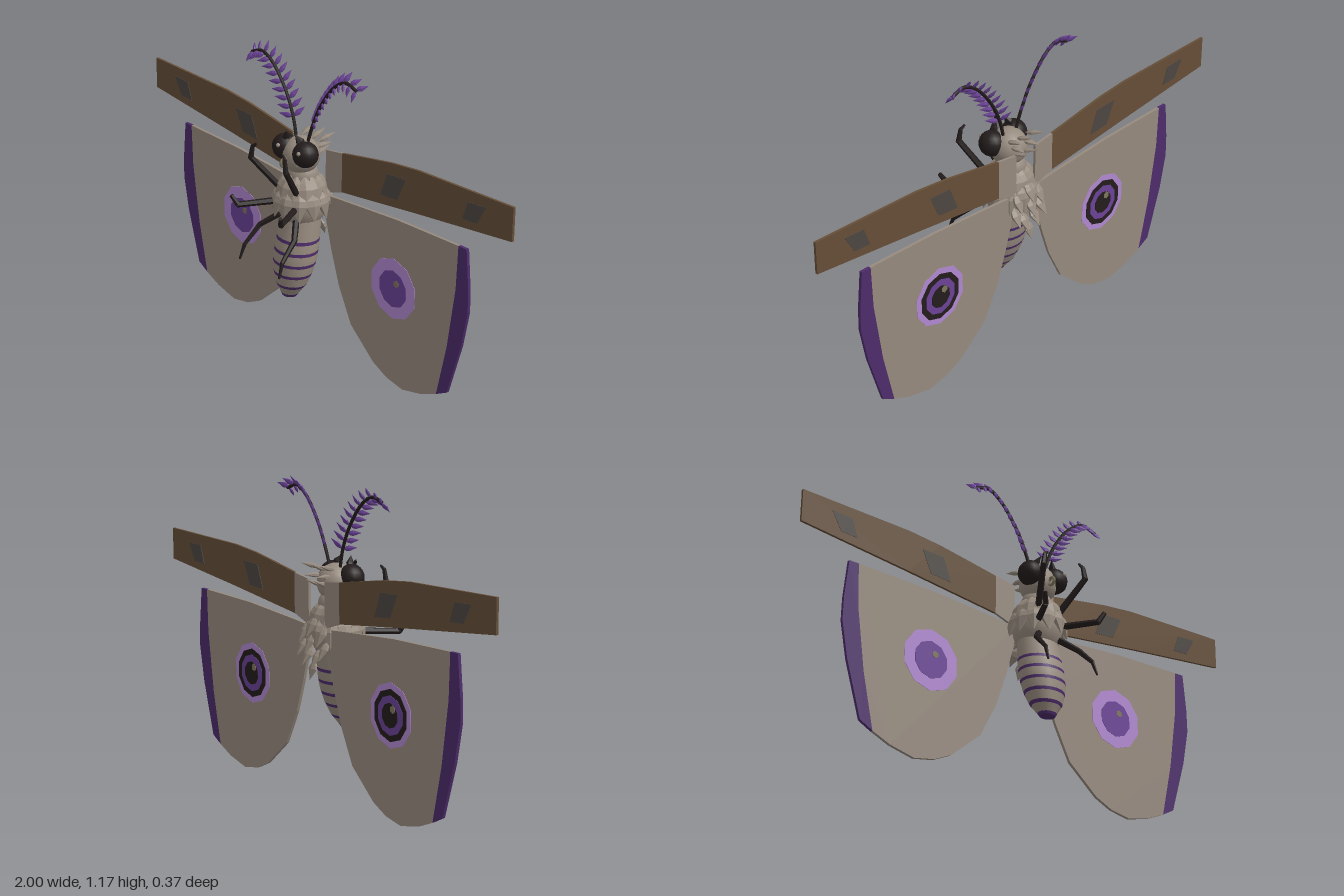
import * as THREE from 'three';

const mat = (name, color) => {
  const m = new THREE.MeshStandardMaterial({ color });
  m.name = name;
  return m;
};
const V = (x, y, z) => new THREE.Vector3(x, y, z);

export function createModel() {
  const root = new THREE.Group();
  root.name = 'moth';
  const taupe = mat('taupe fur', 0x968a7e);
  const brown = mat('forewing brown', 0x654e37);
  const grey = mat('patch grey', 0x4c4641);
  const dark = mat('near black', 0x231c1c);
  const deep = mat('deep purple', 0x4d2c6b);
  const purple = mat('mid purple', 0x6b4296);
  const lavender = mat('lavender', 0xb088d0);
  const olive = mat('olive highlight', 0x7d755c);

  const add = (name, geo, material, parent = root) => {
    const m = new THREE.Mesh(geo, material);
    m.name = name;
    parent.add(m);
    return m;
  };
  const group = (name) => {
    const g = new THREE.Group();
    g.name = name;
    root.add(g);
    return g;
  };
  const flat = (geo) => {
    const g = geo.toNonIndexed();
    g.computeVertexNormals();
    return g;
  };
  const ball = (name, r, p, material, parent, sx = 1, sy = 1, sz = 1) => {
    const m = add(name, new THREE.SphereGeometry(r, 16, 12), material, parent);
    m.position.copy(p);
    m.scale.set(sx, sy, sz);
  };

  // Tapered chain of faceted segments through the given points
  const limb = (name, pts, radii, material, parent) => {
    for (let i = 0; i < pts.length - 1; i++) {
      const d = pts[i + 1].clone().sub(pts[i]);
      const m = add(name, flat(new THREE.CylinderGeometry(radii[i + 1], radii[i], d.length() * 1.06, 6)), material, parent);
      m.position.copy(pts[i]).addScaledVector(d, 0.5);
      m.quaternion.setFromUnitVectors(V(0, 1, 0), d.normalize());
    }
  };

  // Flattened pointed leaf from a to b, its broad face turned to n
  const leafGeo = flat(new THREE.LatheGeometry(
    [[0, 0], [0.42, 0.25], [0.5, 0.45], [0, 1]].map(p => new THREE.Vector2(...p)), 6));
  const leaf = (name, a, b, n, width, thick, material, parent) => {
    const y = b.clone().sub(a), len = y.length();
    y.normalize();
    const x = y.clone().cross(n).normalize();
    const z = x.clone().cross(y);
    const m = add(name, leafGeo, material, parent);
    m.quaternion.setFromRotationMatrix(new THREE.Matrix4().makeBasis(x, y, z));
    m.position.copy(a);
    m.scale.set(width, len, thick);
  };

  // Flat plate from an outline, mirrored by s and centred on depth z
  const plate = (name, pts, s, z, depth, material, parent) => {
    const shape = new THREE.Shape(pts.map(([x, y]) => new THREE.Vector2(x * s, y)));
    const g = new THREE.ExtrudeGeometry(shape, { depth, bevelEnabled: false });
    g.translate(0, 0, z - depth / 2);
    return add(name, g, material, parent);
  };
  const disc = (name, r, x, y, z, material, parent, sides = 10) => {
    const m = add(name, new THREE.CylinderGeometry(r, r, 0.002, sides), material, parent);
    m.rotation.x = Math.PI / 2;
    m.position.set(x, y, z);
  };

  // Abdomen: striped bands following one leaning profile
  const abdomen = group('abdomen');
  const prof = [[0.25, 0.03], [0.27, 0.043], [0.3, 0.064], [0.35, 0.081], [0.4, 0.09], [0.45, 0.09], [0.5, 0.086], [0.56, 0.08]];
  const radius = (y) => {
    const i = Math.max(1, prof.findIndex(p => p[0] >= y));
    const [a, b] = [prof[i - 1], prof[i]];
    return THREE.MathUtils.lerp(a[1], b[1], (y - a[0]) / (b[0] - a[0]));
  };
  const lean = new THREE.Matrix4().set(1, 0, 0, 0, 0, 1, 0, 0, 0, -0.19, 0.87, 0.0675, 0, 0, 0, 1);
  const band = (y0, y1, material, cap) => {
    const pts = cap ? [new THREE.Vector2(0, y0)] : [];
    for (let i = 0; i <= 3; i++) {
      const y = y0 + (y1 - y0) * i / 3;
      pts.push(new THREE.Vector2(radius(y), y));
    }
    add('abdomenBand', new THREE.LatheGeometry(pts, 18).applyMatrix4(lean), material, abdomen);
  };
  const stripes = [0.25, 0.29, 0.336, 0.381, 0.427, 0.472];
  stripes.forEach((y, i) => {
    band(y, y + 0.012, deep, i === 0);
    band(y + 0.012, stripes[i + 1] ?? 0.56, taupe, false);
  });

  // Thorax and head
  ball('thorax', 0.1, V(0, 0.62, -0.04), taupe, root, 0.95, 1.12, 0.92);
  ball('neck', 0.06, V(0, 0.72, -0.045), taupe, root);
  ball('head', 0.072, V(0, 0.802, -0.036), taupe, root);

  // Rings of overlapping fur scales round the thorax
  const fur = group('thoraxFur');
  const rows = [
    { n: 12, y0: 0.735, y1: 0.625, r0: 0.05, r1: 0.108, off: 0 },
    { n: 12, y0: 0.68, y1: 0.57, r0: 0.085, r1: 0.112, off: 0.5 },
  ];
  for (const { n, y0, y1, r0, r1, off } of rows) {
    for (let i = 0; i < n; i++) {
      const a = (i + off) / n * Math.PI * 2, c = Math.sin(a), k = Math.cos(a);
      leaf('furScale', V(c * r0, y0, k * r0 - 0.04), V(c * r1, y1, k * r1 - 0.04), V(c, 0.3, k), 0.068, 0.035, taupe, fur);
    }
  }
  // Shaggy scales down the back
  for (const [x, y, z, l] of [[0, 0.69, -0.12, 0.08], [0.05, 0.66, -0.115, 0.08], [0, 0.63, -0.13, 0.08],
    [0.06, 0.6, -0.115, 0.07], [0.025, 0.57, -0.12, 0.07], [0, 0.52, -0.13, 0.07]]) {
    for (const s of x ? [1, -1] : [1]) {
      leaf('backScale', V(x * s, y, z), V(x * s * 1.15, y - l, z - 0.05 + (y < 0.55 ? 0.025 : 0)), V(0, 0.4, -1), 0.045, 0.02, taupe, fur);
    }
  }
  // Crest tufts behind the head
  for (const [x, y, dy] of [[0, 0.85, 0.03], [0.03, 0.83, 0.005], [0.045, 0.855, 0.025], [0.02, 0.79, 0.03]]) {
    for (const s of x ? [1, -1] : [1]) {
      leaf('headTuft', V(x * s, y, -0.075), V(x * s * 1.3, y + dy, -0.155), V(0, 1, 0.3), 0.032, 0.018, taupe, fur);
    }
  }

  // Coiled tongue
  const coil = add('proboscis', new THREE.TorusGeometry(0.015, 0.006, 6, 14), olive);
  coil.rotation.y = Math.PI / 2;
  coil.position.set(0, 0.79, 0.045);

  for (const s of [1, -1]) {
    const side = s > 0 ? 'left' : 'right';

    // Eyes, face scales and dark brows
    ball(side + 'Eye', 0.049, V(s * 0.058, 0.825, -0.008), dark, root);
    ball(side + 'EyeGlint', 0.008, V(s * 0.058 + 0.012, 0.842, 0.035), taupe, root);
    leaf(side + 'Cheek', V(s * 0.03, 0.81, 0.02), V(s * 0.018, 0.745, 0.005), V(0, 0, 1), 0.035, 0.025, taupe, root);
    leaf(side + 'Brow', V(s * 0.05, 0.85, -0.01), V(s * 0.025, 0.9, 0.015), V(s, 0, 0), 0.035, 0.025, dark, root);

    // Three pairs of legs
    const legs = group(side + 'Legs');
    const paths = [
      [[0.05, 0.68, 0.03], [0.1, 0.8, 0.12], [0.092, 0.845, 0.118], [0.075, 0.86, 0.113]],
      [[0.06, 0.62, 0.045], [0.125, 0.615, 0.163], [0.142, 0.65, 0.18]],
      [[0.05, 0.565, 0.03], [0.1, 0.52, 0.08], [0.11, 0.455, 0.145], [0.115, 0.4, 0.165]],
    ];
    for (const p of paths) {
      limb('leg', p.map(([x, y, z]) => V(x * s, y, z)), [0.013, 0.011, 0.008, 0.004], dark, legs);
    }

    // Feathered antenna
    const antenna = group(side + 'Antenna');
    const curve = new THREE.CatmullRomCurve3([[0.03, 0.85, -0.04], [0.055, 0.93, -0.045], [0.1, 1.02, -0.047],
      [0.175, 1.11, -0.047], [0.235, 1.14, -0.045], [0.295, 1.122, -0.045]].map(([x, y, z]) => V(x * s, y, z)));
    add('antennaStem', new THREE.TubeGeometry(curve, 24, 0.0065, 6), dark, antenna);
    for (let i = 0; i < 11; i++) {
      const t = 0.2 + i * 0.077, p = curve.getPointAt(t), d = curve.getTangentAt(t);
      for (const k of [1, -1]) {
        const out = V(-d.y * k, d.x * k, 0).multiplyScalar(0.042 - i * 0.0012);
        const tip = p.clone().add(out).addScaledVector(d, 0.026);
        tip.z += out.y > 0 ? -0.032 : 0.03;
        leaf('antennaLeaf', p, tip, V(0, 0, 1), 0.023, 0.012, purple, antenna);
      }
    }

    // Forewing with pale root and grey patches
    const fore = group(side + 'Forewing');
    plate('forewingBlade', [[0.14, 0.828], [0.27, 0.85], [0.4, 0.871], [0.54, 0.885], [1, 0.897], [1, 0.772],
      [0.54, 0.722], [0.14, 0.675]], s, -0.118, 0.01, brown, fore);
    plate('forewingRoot', [[0.05, 0.815], [0.14, 0.828], [0.14, 0.675], [0.05, 0.645]], s, -0.118, 0.01, taupe, fore);
    plate('forewingPatch', [[0.48, 0.83], [0.385, 0.826], [0.35, 0.735], [0.44, 0.742]], s, -0.118, 0.013, grey, fore);
    plate('forewingPatch', [[0.875, 0.855], [0.79, 0.85], [0.765, 0.78], [0.835, 0.784]], s, -0.118, 0.013, grey, fore);

    // Hindwing with deep purple margin
    const hind = group(side + 'Hindwing');
    const seam = [[0.76, 0.677], [0.754, 0.51], [0.72, 0.27], [0.674, 0.062]];
    plate('hindwingBlade', [...seam, [0.6, 0.03], [0.497, 0.006], [0.41, 0.022], [0.337, 0.056], [0.21, 0.163],
      [0.14, 0.3], [0.096, 0.43], [0.06, 0.56], [0.05, 0.64], [0.14, 0.648], [0.45, 0.67]], s, -0.11, 0.012, taupe, hind);
    plate('hindwingMargin', [...seam, [0.727, 0.09], [0.79, 0.3], [0.817, 0.44], [0.815, 0.53], [0.8, 0.677]], s, -0.11, 0.012, deep, hind);

    // Eyespots, stacked on the front and on the back
    const x = 0.437 * s, y = 0.395;
    [[0.12, lavender], [0.073, purple]].forEach(([r, m], i) => disc('eyespot', r, x, y, -0.1035 + i * 0.0015, m, hind));
    disc('eyespotGlint', 0.014, x + 0.018, y + 0.025, -0.1005, olive, hind, 6);
    [[0.12, lavender], [0.096, dark], [0.073, purple], [0.046, dark]]
      .forEach(([r, m], i) => disc('eyespot', r, x, y, -0.1165 - i * 0.0015, m, hind));
    disc('eyespotGlint', 0.015, x - 0.018, y + 0.025, -0.1225, olive, hind, 6);
  }
  return root;
}
